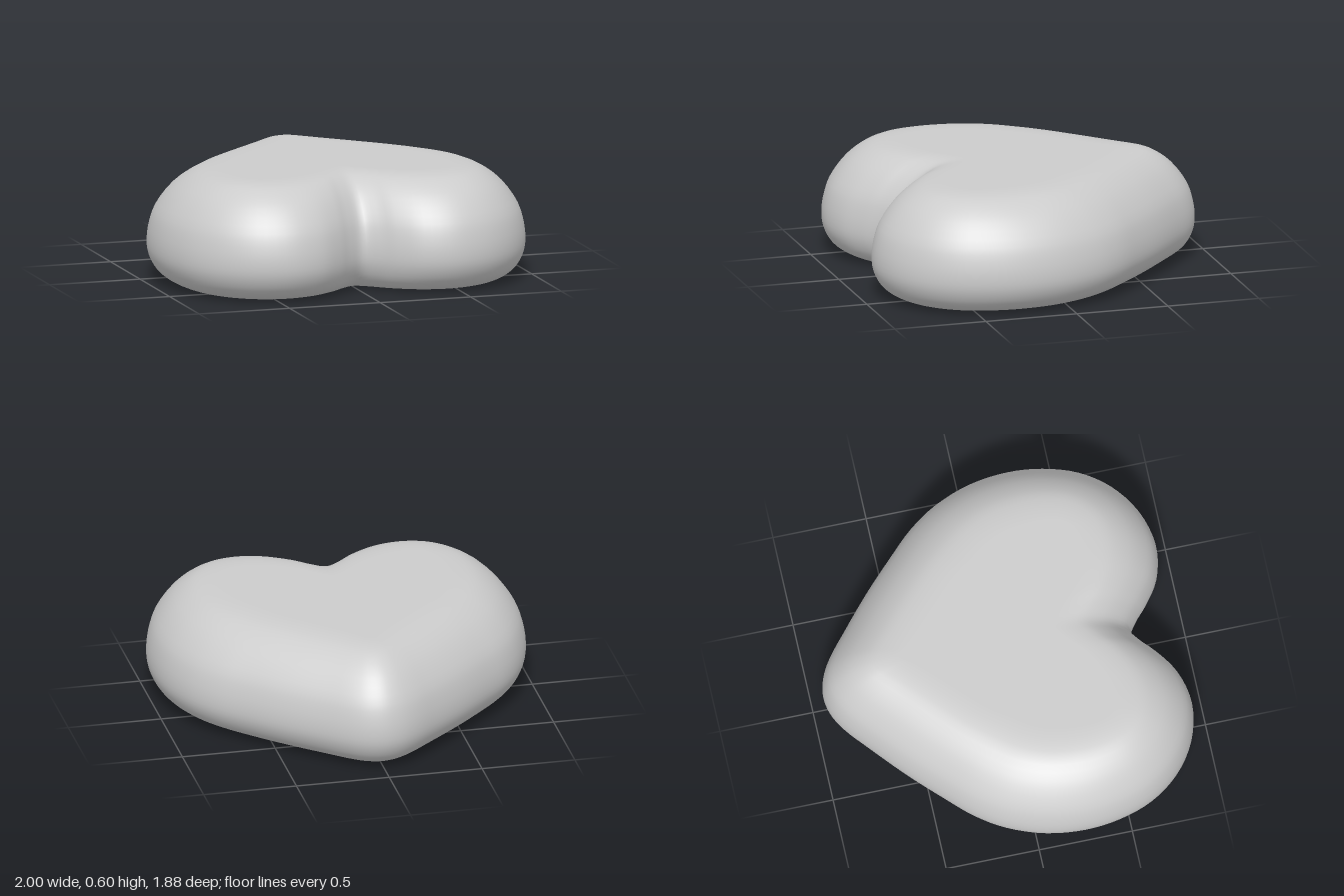
import * as THREE from 'three';

// Half outline of the heart, from the back tip round the left lobe to the front notch.
// Each row: outer edge x, z, then the matching point x, z on the rim of the flat top.
const HALF = [
  [0, -0.945, 0, -0.53], [0.09, -0.928, 0.02, -0.52], [0.18, -0.88, 0.04, -0.49],
  [0.315, -0.77, 0.09, -0.43], [0.5, -0.61, 0.22, -0.3], [0.66, -0.455, 0.38, -0.14],
  [0.8, -0.31, 0.45, -0.04], [0.9, -0.16, 0.52, 0.06], [0.975, 0.04, 0.56, 0.15],
  [1, 0.25, 0.58, 0.28], [0.98, 0.44, 0.58, 0.37], [0.915, 0.63, 0.57, 0.43],
  [0.8, 0.785, 0.55, 0.47], [0.64, 0.895, 0.52, 0.5], [0.45, 0.94, 0.45, 0.515],
  [0.28, 0.905, 0.33, 0.5], [0.16, 0.825, 0.17, 0.42], [0.08, 0.755, 0.08, 0.34],
  [0, 0.71, 0, 0.29],
];
const MAX_INSET = 0.42;

// Edge section: inset from the outline, height
const SECTION = [
  [0.26, 0], [0.18, 0.003], [0.11, 0.022], [0.05, 0.065], [0.012, 0.13], [0, 0.2],
  [0.01, 0.29], [0.045, 0.39], [0.13, 0.5], [0.235, 0.572], [0.33, 0.595], [0.42, 0.6],
];

// Closed smooth curve from one half mirrored across x = 0
function closedCurve(col) {
  const left = HALF.map((p) => new THREE.Vector3(p[col], 0, p[col + 1]));
  const right = left.slice(1, -1).reverse().map((p) => new THREE.Vector3(-p.x, 0, p.z));
  return new THREE.CatmullRomCurve3([...left, ...right], true, 'centripetal');
}

function heartGeometry(around = 144, levels = 33) {
  const outer = closedCurve(0);
  const inner = closedCurve(2);
  const section = new THREE.SplineCurve(SECTION.map(([i, y]) => new THREE.Vector2(i, y)));
  const pos = [];
  const index = [];

  // Rings from the underside up to the flat top
  for (let r = 0; r < levels; r++) {
    const s = section.getPoint(r / (levels - 1));
    const t = Math.max(0, s.x) / MAX_INSET;
    for (let k = 0; k < around; k++) {
      const p = outer.getPoint(k / around).lerp(inner.getPoint(k / around), t);
      pos.push(p.x, Math.min(0.6, Math.max(0, s.y)), p.z);
    }
  }
  const bottom = pos.length / 3;
  pos.push(0, 0, 0, 0, 0.6, 0);

  // Side wall
  for (let r = 0; r < levels - 1; r++) {
    for (let k = 0; k < around; k++) {
      const n = (k + 1) % around;
      const a = r * around + k, b = r * around + n;
      const c = a + around, d = b + around;
      index.push(a, c, b, b, c, d);
    }
  }
  // Flat underside and top
  const last = (levels - 1) * around;
  for (let k = 0; k < around; k++) {
    const n = (k + 1) % around;
    index.push(bottom, k, n, bottom + 1, last + n, last + k);
  }

  const geo = new THREE.BufferGeometry();
  geo.setAttribute('position', new THREE.Float32BufferAttribute(pos, 3));
  geo.setIndex(index);
  geo.computeVertexNormals();
  return geo;
}

export function createModel() {
  const group = new THREE.Group();
  group.name = 'heart';
  const body = new THREE.Mesh(heartGeometry(), new THREE.MeshStandardMaterial({ color: 0xcccccc }));
  body.name = 'heartBody';
  group.add(body);
  return group;
}
